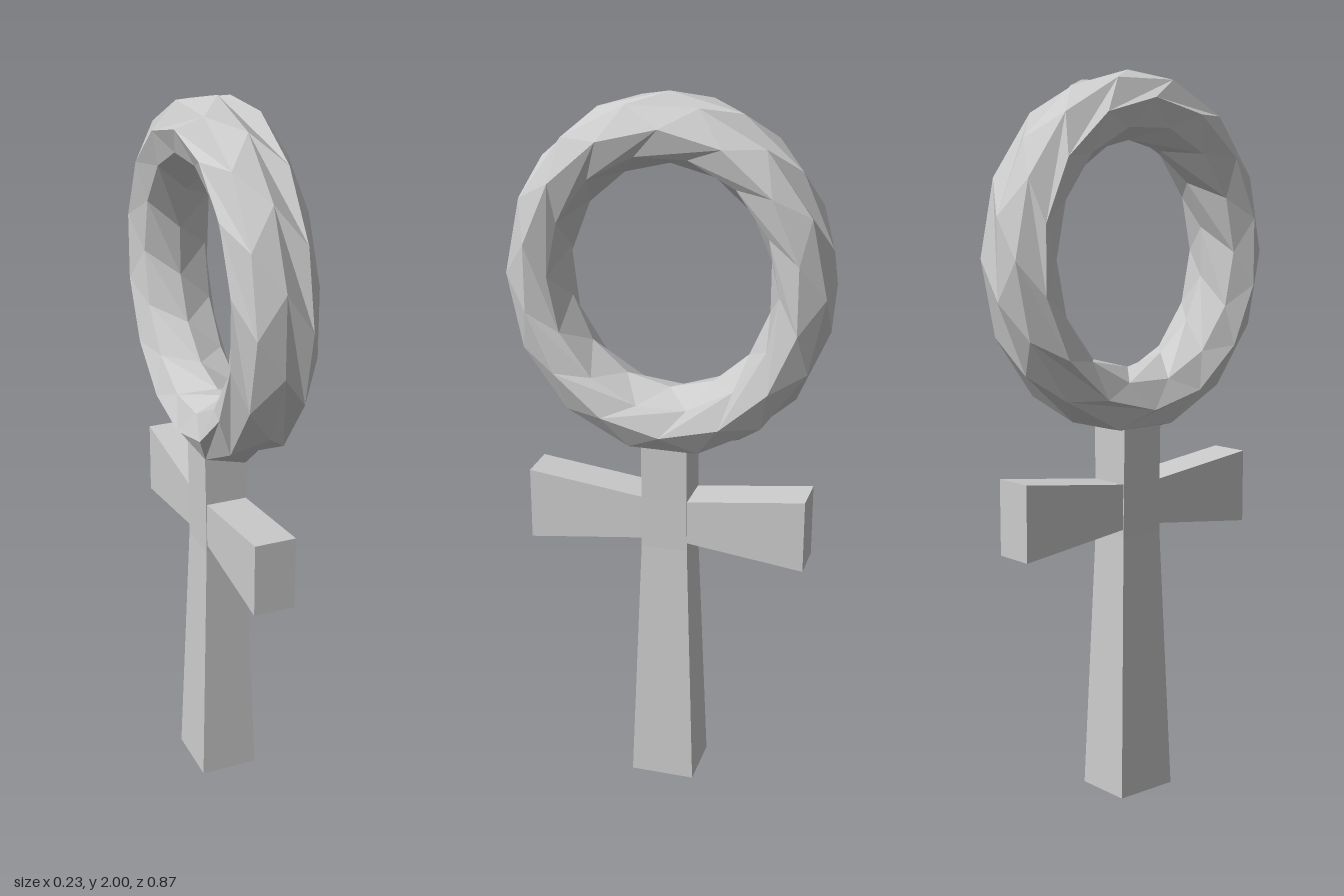
import * as THREE from 'three';

const material = new THREE.MeshStandardMaterial({ color: 0xcccccc, flatShading: true });

function addMesh(group, name, geometry) {
  const flat = geometry.toNonIndexed();
  flat.computeVertexNormals();
  const mesh = new THREE.Mesh(flat, material);
  mesh.name = name;
  group.add(mesh);
  return mesh;
}

// Square bar lofted along y through sections [y, halfX, halfZ]
function loft(sections) {
  const n = sections.length - 1;
  const geo = new THREE.BoxGeometry(2, n, 2, 1, n, 1);
  const p = geo.attributes.position;
  for (let i = 0; i < p.count; i++) {
    const [y, hx, hz] = sections[Math.round(p.getY(i) + n / 2)];
    p.setXYZ(i, p.getX(i) * hx, y, p.getZ(i) * hz);
  }
  return geo;
}

// Faceted oval ring standing in the y-z plane, alternate rows staggered
function ringGeometry() {
  const segments = 14;
  // [across, radius] from the outer rim round to the inner rim and back
  const profile = [
    [0, 0.447], [0.075, 0.434], [0.117, 0.378], [0.09, 0.315],
    [0, 0.28], [-0.09, 0.315], [-0.117, 0.378], [-0.075, 0.434],
  ];
  const geo = new THREE.TorusGeometry(1, 0.4, profile.length, segments);
  const p = geo.attributes.position;
  for (let i = 0; i < p.count; i++) {
    const row = Math.floor(i / (segments + 1)) % profile.length;
    const step = (i % (segments + 1)) + (row % 2) * 0.5;
    const angle = (step / segments) * Math.PI * 2 + Math.PI / 2;
    const [across, radius] = profile[row];
    p.setXYZ(i, radius * Math.cos(angle), radius * 1.095 * Math.sin(angle), across);
  }
  geo.rotateY(Math.PI / 2);
  geo.translate(0, 1.51, 0);
  return geo;
}

export function createModel() {
  const group = new THREE.Group();
  group.name = 'loopedCross';

  addMesh(group, 'ring', ringGeometry());

  // Shaft narrows to the crossing, then runs straight into the ring
  addMesh(group, 'shaft', loft([
    [0, 0.083, 0.092], [0.74, 0.06, 0.066], [0.89, 0.061, 0.065], [1.08, 0.064, 0.065],
  ]));

  // Flared arms to the front and back
  for (const side of [1, -1]) {
    const arm = loft([[0.04, 0.058, 0.06], [0.395, 0.058, 0.104]]);
    arm.rotateX(side * Math.PI / 2);
    arm.translate(0, 0.827, 0);
    addMesh(group, side > 0 ? 'frontArm' : 'backArm', arm);
  }
  return group;
}
